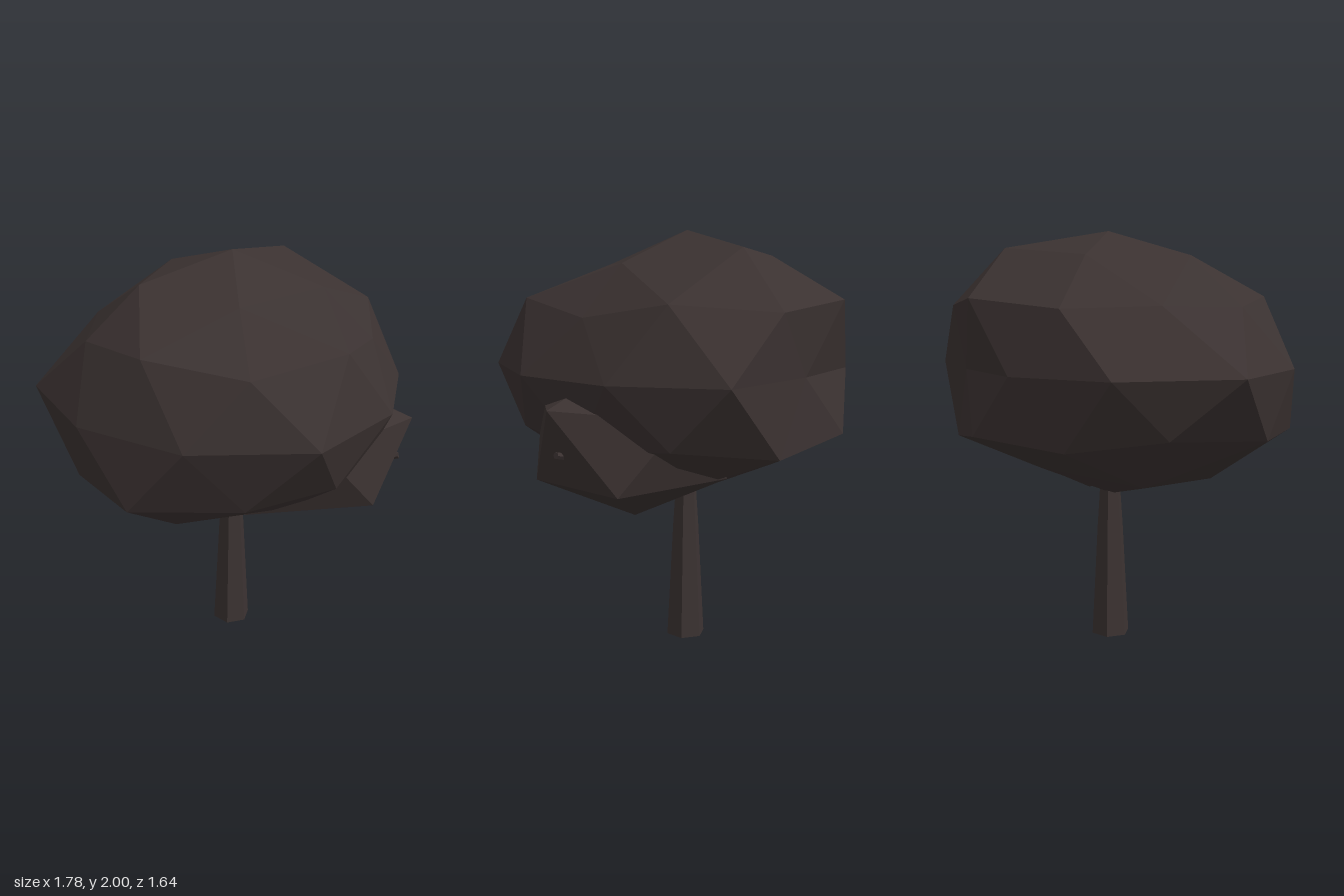
import * as THREE from 'three';

const bark = new THREE.MeshStandardMaterial({ color: 0x3c3332, flatShading: true });
bark.name = 'dark bark';
const leaves = new THREE.MeshStandardMaterial({ color: 0x3b3231, flatShading: true });
leaves.name = 'dark foliage';

// Faceted solid from a list of triangles, each a list of three [x, y, z] corners
function faceted(name, triangles, material) {
  const geometry = new THREE.BufferGeometry();
  geometry.setAttribute('position', new THREE.Float32BufferAttribute(triangles.flat(2), 3));
  geometry.computeVertexNormals();
  const mesh = new THREE.Mesh(geometry, material);
  mesh.name = name;
  return mesh;
}

// Rings run from front to right to back to left
const at = (ring, i) => ring[(i + ring.length) % ring.length];

// Main crown: an uneven sphere of five rings between two poles
function makeCrown() {
  const top = [0.01, 2, -0.09];
  const cap = [[0.13, 1.84, 0.3], [0.44, 1.85, -0.09], [0.17, 1.92, -0.56], [-0.35, 1.88, -0.32], [-0.36, 1.88, 0.18]];
  const upper = [[0.26, 1.65, 0.68], [0.62, 1.69, 0.36], [0.68, 1.62, -0.09], [0.61, 1.69, -0.53], [0.2, 1.65, -0.81],
    [-0.23, 1.69, -0.82], [-0.58, 1.65, -0.51], [-0.66, 1.66, -0.08], [-0.57, 1.65, 0.34], [-0.22, 1.69, 0.63]];
  const middle = [[0.56, 1.36, 0.67], [0.81, 1.36, 0.18], [0.8, 1.36, -0.35], [0.53, 1.36, -0.8], [0.01, 1.36, -0.79],
    [-0.44, 1.36, -0.7], [-0.81, 1.36, -0.36], [-0.89, 1.36, 0.21], [-0.52, 1.36, 0.64], [0.01, 1.36, 0.82]];
  const lower = [[0.24, 1.04, 0.66], [0.6, 1.08, 0.42], [0.7, 1.04, -0.08], [0.62, 1.08, -0.55], [0.2, 1.02, -0.8],
    [-0.25, 1.08, -0.82], [-0.6, 1.04, -0.5], [-0.75, 1.09, -0.08], [-0.59, 1.04, 0.47], [-0.26, 1.04, 0.77]];
  const base = [[0.33, 0.83, 0.2], [0.3, 0.84, -0.35], [-0.15, 0.9, -0.48], [-0.44, 0.83, -0.08], [-0.15, 0.79, 0.39]];
  const bottom = [0, 0.72, -0.08];

  const t = [];
  for (let i = 0; i < 5; i++) {
    const j = 2 * i, k = 2 * i + 1;
    t.push([top, cap[i], at(cap, i + 1)],
      [cap[i], at(upper, j - 1), upper[j]],
      [cap[i], upper[j], at(upper, j + 1)],
      [cap[i], at(upper, j + 1), at(cap, i + 1)],
      [base[i], lower[k], lower[k - 1]],
      [base[i], at(lower, k + 1), lower[k]],
      [base[i], at(base, i + 1), at(lower, k + 1)],
      [bottom, at(base, i + 1), base[i]]);
  }
  for (let j = 0; j < 10; j++) {
    t.push([upper[j], middle[j], at(upper, j + 1)],
      [at(upper, j + 1), middle[j], at(middle, j + 1)],
      [middle[j], at(lower, j + 1), at(middle, j + 1)],
      [middle[j], lower[j], at(lower, j + 1)]);
  }
  return faceted('crown', t, leaves);
}

// Side clump: a flattened twenty-sided solid
function makeClump() {
  const top = [0.36, 1.44, -0.08], bottom = [0.36, 0.68, -0.08];
  const upper = [[0.53, 1.22, 0.37], [0.89, 1.24, -0.09], [0.53, 1.2, -0.53], [-0.06, 1.24, -0.38], [-0.06, 1.24, 0.22]];
  const lower = [[0.75, 0.88, 0.16], [0.75, 0.88, -0.37], [0.22, 0.9, -0.52], [-0.12, 0.88, -0.08], [0.18, 0.88, 0.39]];
  const t = [];
  for (let i = 0; i < 5; i++) {
    t.push([top, upper[i], at(upper, i + 1)],
      [upper[i], lower[i], at(upper, i + 1)],
      [at(upper, i + 1), lower[i], at(lower, i + 1)],
      [bottom, at(lower, i + 1), lower[i]]);
  }
  return faceted('sideClump', t, leaves);
}

export function createModel() {
  const tree = new THREE.Group();
  tree.name = 'tree';

  // Six-sided tapering trunk, running up into the crown
  const profile = [[0, 0], [0.096, 0], [0.066, 0.56], [0.055, 0.72], [0.04, 1.1], [0, 1.1]];
  const trunk = new THREE.Mesh(
    new THREE.LatheGeometry(profile.map(([r, y]) => new THREE.Vector2(r, y)), 6), bark);
  trunk.name = 'trunk';
  trunk.position.set(0.01, 0, -0.085);

  // Branch whose tip just pokes out of the side clump
  const from = new THREE.Vector3(0.01, 0.85, -0.085);
  const along = new THREE.Vector3(0.84, 1.04, -0.085).sub(from);
  const branch = new THREE.Mesh(new THREE.CylinderGeometry(0.016, 0.04, along.length(), 6), bark);
  branch.name = 'branch';
  branch.position.copy(from).addScaledVector(along, 0.5);
  branch.quaternion.setFromUnitVectors(new THREE.Vector3(0, 1, 0), along.clone().normalize());

  tree.add(trunk, branch, makeCrown(), makeClump());
  return tree;
}
